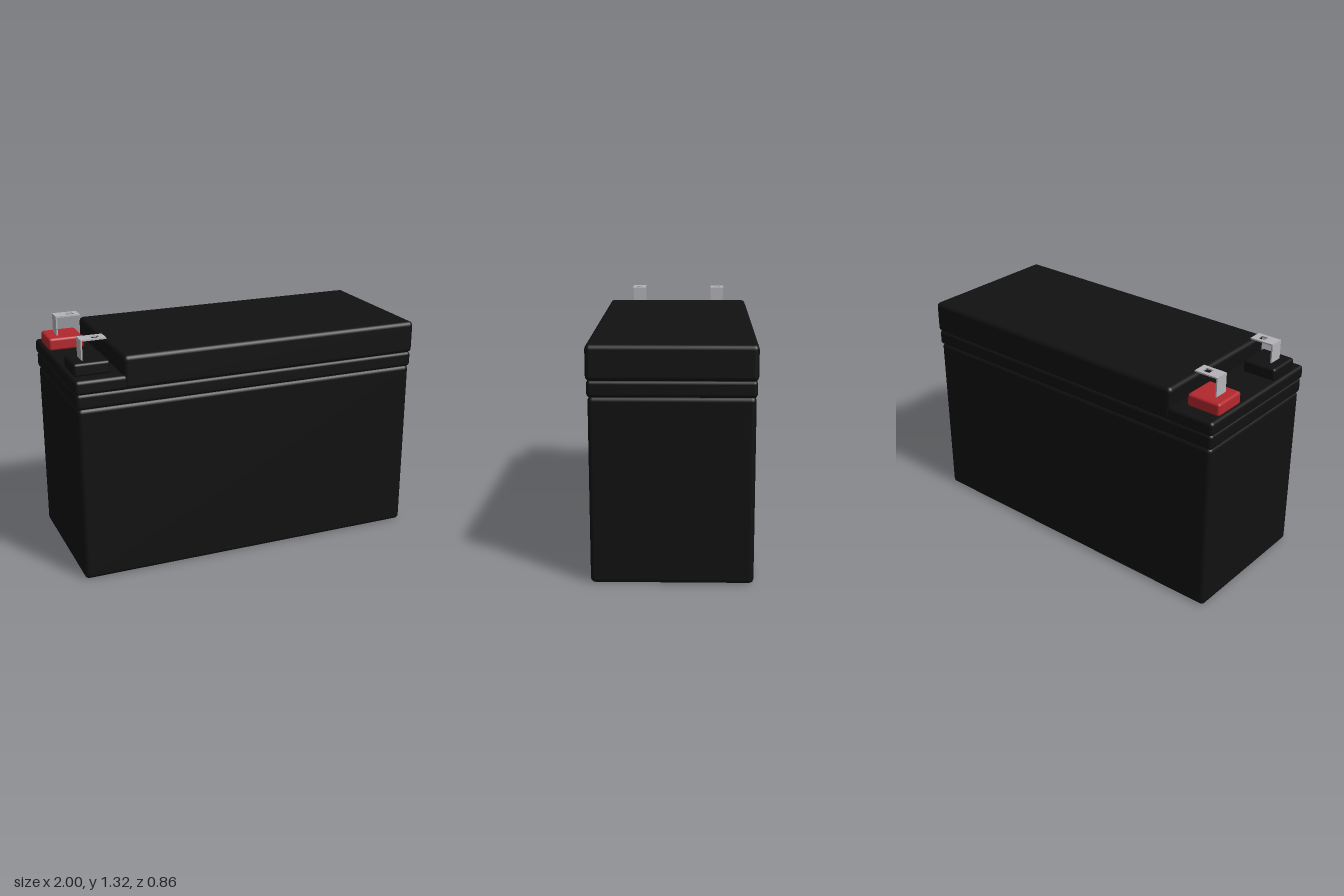
import * as THREE from 'three';
import { RoundedBoxGeometry } from 'three/addons/geometries/RoundedBoxGeometry.js';

const plastic = new THREE.MeshStandardMaterial({ color: 0x111111 });
const red = new THREE.MeshStandardMaterial({ color: 0xb3282d });
const metal = new THREE.MeshStandardMaterial({ color: 0xb4b4b9 });

// Rounded block given by its extents on each axis
function block(name, [x0, x1], [y0, y1], [z0, z1], radius, material) {
  const geometry = new RoundedBoxGeometry(x1 - x0, y1 - y0, z1 - z0, 3, radius);
  const mesh = new THREE.Mesh(geometry, material);
  mesh.position.set((x0 + x1) / 2, (y0 + y1) / 2, (z0 + z1) / 2);
  mesh.name = name;
  return mesh;
}

// Bent spade connector: upright strip and a pierced flat blade
function spadeTab() {
  const tab = new THREE.Group();
  const t = 0.008, w = 0.082, top = 1.318;

  const upright = new THREE.Mesh(new THREE.BoxGeometry(t, top - 1.2, w), metal);
  upright.position.set(-0.92, (top + 1.2) / 2, 0);
  upright.name = 'tabUpright';

  const outline = new THREE.Shape([
    [-0.916, -w / 2], [-0.785, -w / 2], [-0.785, w / 2], [-0.916, w / 2],
  ].map(([x, y]) => new THREE.Vector2(x, y)));
  outline.holes.push(new THREE.Path([
    [-0.858, -0.019], [-0.858, 0.019], [-0.816, 0.019], [-0.816, -0.019],
  ].map(([x, y]) => new THREE.Vector2(x, y))));
  const blade = new THREE.Mesh(
    new THREE.ExtrudeGeometry(outline, { depth: t, bevelEnabled: false }).rotateX(-Math.PI / 2), metal);
  blade.position.y = top - t;
  blade.name = 'tabBlade';

  tab.add(upright, blade);
  return tab;
}

export function createModel() {
  const model = new THREE.Group();
  model.name = 'battery';

  // Case, rim band and stepped lid
  model.add(
    block('case', [-0.99, 0.99], [0, 0.985], [-0.42, 0.42], 0.025, plastic),
    block('rimBand', [-0.995, 0.995], [0.98, 1.068], [-0.425, 0.425], 0.02, plastic),
    block('lid', [-0.737, 1], [1.063, 1.247], [-0.43, 0.43], 0.025, plastic),
    block('terminalShelf', [-1, -0.715], [1.063, 1.142], [-0.43, 0.43], 0.02, plastic),
  );

  // Terminals: red at the back, black at the front
  for (const [name, z, material] of [['positive', -0.253, red], ['negative', 0.253, plastic]]) {
    const terminal = new THREE.Group();
    terminal.name = name + 'Terminal';
    const pad = block('terminalPad', [-0.982, -0.785], [1.138, 1.21], [-0.097, 0.097], 0.015, material);
    const tab = spadeTab();
    tab.name = 'spadeTab';
    terminal.add(pad, tab);
    terminal.position.z = z;
    model.add(terminal);
  }
  return model;
}
